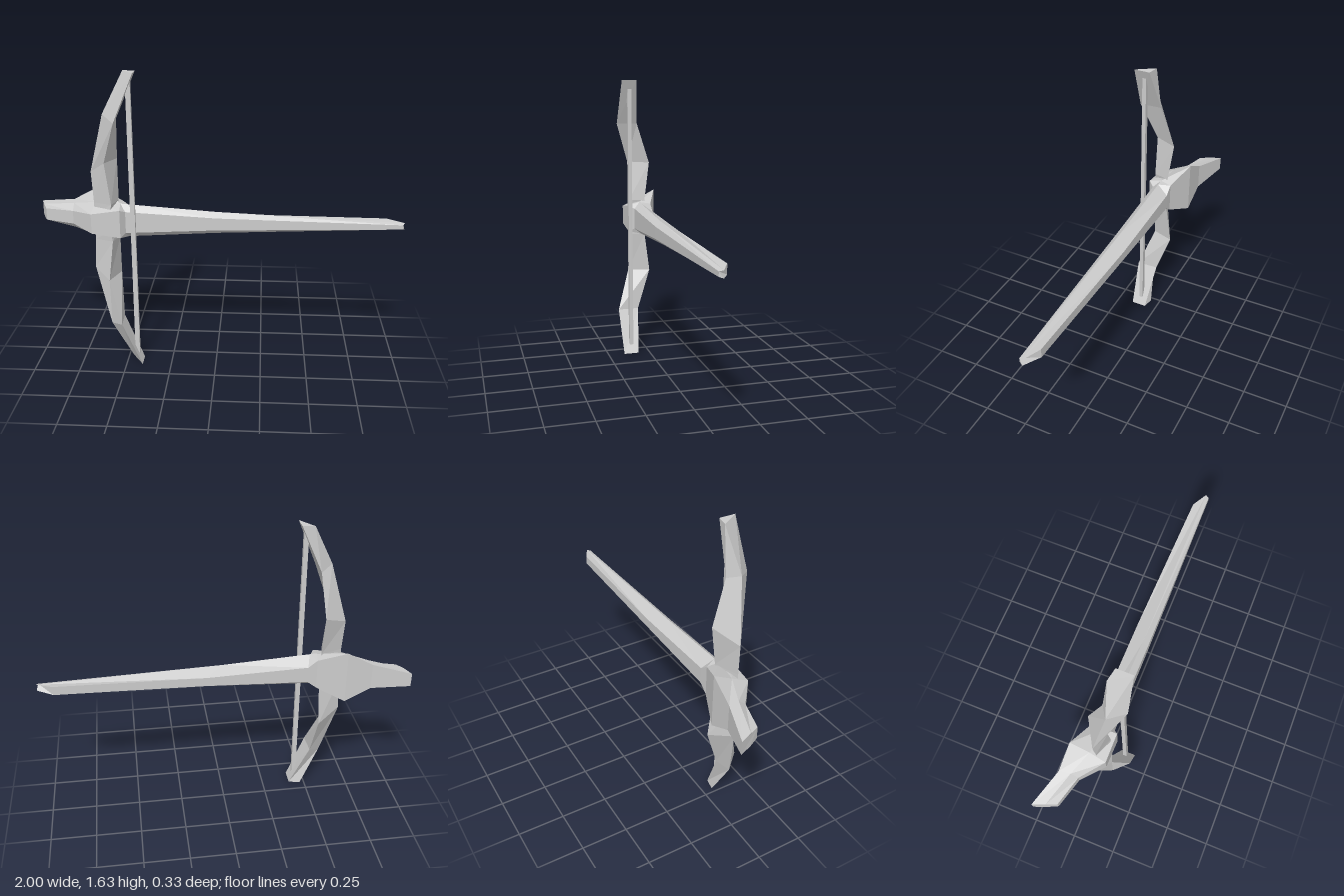
import * as THREE from 'three';

const MID = 0.815; // height of the horizontal mirror plane

// Closed faceted skin through rings of [x, y, z] points, capped at both ends
function loft(name, rings, material) {
  const n = rings[0].length, pos = [];
  const tri = (a, b, c) => pos.push(...a, ...b, ...c);
  for (let i = 0; i < rings.length - 1; i++) {
    for (let j = 0; j < n; j++) {
      const k = (j + 1) % n;
      const a = rings[i][j], b = rings[i][k], c = rings[i + 1][j], d = rings[i + 1][k];
      tri(a, c, b);
      tri(b, c, d);
    }
  }
  const first = rings[0], last = rings[rings.length - 1];
  for (let j = 1; j < n - 1; j++) {
    tri(first[0], first[j], first[j + 1]);
    tri(last[0], last[j + 1], last[j]);
  }
  const geo = new THREE.BufferGeometry();
  geo.setAttribute('position', new THREE.Float32BufferAttribute(pos, 3));
  geo.computeVertexNormals();
  const mesh = new THREE.Mesh(geo, material);
  mesh.name = name;
  return mesh;
}

// Hexagonal stock ring from [x, z, halfHeight] of its front, middle and back corners
function stockRing(...corners) {
  const upper = corners.map(([x, z, h]) => [x, MID + h, z]);
  const lower = corners.map(([x, z, h]) => [x, MID - h, z]).reverse();
  return [...upper, ...lower];
}

export function createModel() {
  const group = new THREE.Group();
  const mat = new THREE.MeshStandardMaterial({ color: 0xcccccc, flatShading: true });

  // Stock: bent tail grip, flared shoulder and raised block
  group.add(loft('stock', [
    stockRing([-0.95, -0.045, 0.033], [-0.975, -0.1, 0.04], [-1, -0.165, 0.038]),
    stockRing([-0.79, 0, 0.037], [-0.79, -0.04, 0.07], [-0.8, -0.1, 0.073]),
    stockRing([-0.67, 0.1, 0.055], [-0.66, 0.01, 0.095], [-0.66, -0.095, 0.15]),
    stockRing([-0.515, 0.1, 0.078], [-0.52, 0.03, 0.095], [-0.51, -0.035, 0.085]),
    stockRing([-0.49, 0.067, 0.06], [-0.48, 0.03, 0.092], [-0.46, -0.035, 0.045]),
    // Long tapering rail
    stockRing([0, 0.067, 0.034], [0, 0.035, 0.06], [0.1, -0.033, 0.025]),
    stockRing([0.99, 0.055, 0.012], [1, 0.035, 0.018], [0.91, -0.012, 0.025]),
  ], mat));

  // Triangular bow limb: front, outer and back-inner corners, root to tip
  const limb = [
    [[-0.57, 0.86, 0.085], [-0.66, 0.86, 0.045], [-0.535, 0.86, -0.005]],
    [[-0.56, 0.92, 0.085], [-0.66, 0.92, 0.045], [-0.535, 0.92, -0.005]],
    [[-0.588, 1.15, 0.088], [-0.67, 1.09, 0.04], [-0.54, 1.145, -0.035]],
    [[-0.515, 1.38, 0.165], [-0.585, 1.41, 0.085], [-0.52, 1.38, 0.043]],
    [[-0.41, 1.63, 0.155], [-0.475, 1.63, 0.055], [-0.41, 1.63, 0.068]],
  ];
  group.add(loft('upperLimb', limb, mat));
  const mirrored = limb.map(ring => ring.map(([x, y, z]) => [x, 2 * MID - y, z])).reverse();
  group.add(loft('lowerLimb', mirrored, mat));

  // Bowstring
  const string = new THREE.Mesh(new THREE.BoxGeometry(0.025, 1.53, 0.022), mat);
  string.name = 'bowString';
  string.position.set(-0.442, MID, 0.106);
  group.add(string);

  return group;
}
